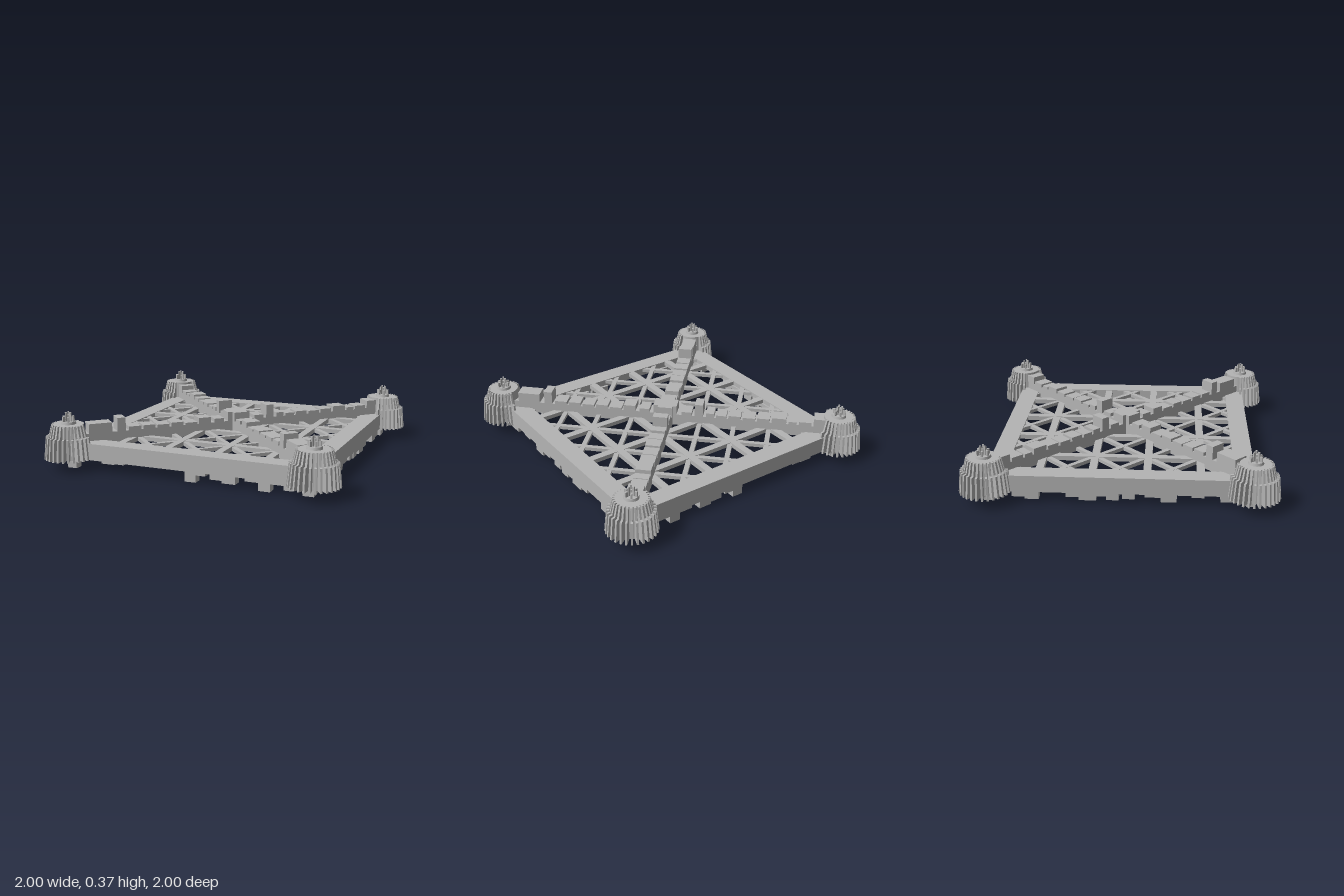
import * as THREE from 'three';

const steel = new THREE.MeshStandardMaterial({ color: 0xb4b4b4 });
steel.name = 'light grey';

// Box given by its centre, its size and its bottom and top heights
function slab(name, x, z, w, d, y0, y1, turn = 0) {
  const mesh = new THREE.Mesh(new THREE.BoxGeometry(w, y1 - y0, d), steel);
  mesh.name = name;
  mesh.position.set(x, (y0 + y1) / 2, z);
  mesh.rotation.y = turn;
  return mesh;
}

// Square ring with an open middle
function squareRing(name, outer, inner, y0, y1) {
  const square = (r) => [[-r, -r], [r, -r], [r, r], [-r, r]].map(([x, y]) => new THREE.Vector2(x, y));
  const shape = new THREE.Shape(square(outer));
  shape.holes.push(new THREE.Path(square(inner)));
  const geo = new THREE.ExtrudeGeometry(shape, { depth: y1 - y0, bevelEnabled: false });
  geo.rotateX(-Math.PI / 2).translate(0, y0, 0);
  const mesh = new THREE.Mesh(geo, steel);
  mesh.name = name;
  return mesh;
}

// Straight bars and crossing braces, level with the top plate
function makeLattice() {
  const group = new THREE.Group();
  group.name = 'lattice';
  for (const p of [-0.508, -0.172, 0.172, 0.508]) {
    group.add(slab('longBar', p, 0, 0.05, 1.436, 0.146, 0.176));
    group.add(slab('crossBar', 0, p, 1.436, 0.05, 0.147, 0.175));
  }
  const pitch = 0.338, reach = 0.73;
  for (let k = -4; k <= 4; k++) {
    if (k === 0) continue; // the main beams lie here
    const off = k * pitch, len = (2 * reach - Math.abs(off)) * Math.SQRT2;
    group.add(slab('brace', off / 2, -off / 2, len, 0.032, 0.148, 0.172, -Math.PI / 4));
    group.add(slab('brace', off / 2, off / 2, len, 0.032, 0.149, 0.171, Math.PI / 4));
  }
  return group;
}

// Two tall diagonal beams topped with blocks: [z start, z end, top]
const BLOCKS = [
  [-0.78, -0.72, 0.28], [-0.71, -0.65, 0.25], [-0.64, -0.6, 0.245], [-0.59, -0.52, 0.262],
  [-0.51, -0.45, 0.25], [-0.44, -0.38, 0.245], [-0.37, -0.31, 0.25], [-0.3, -0.25, 0.245],
  [-0.24, -0.2, 0.255], [-0.185, -0.145, 0.315], [-0.13, -0.08, 0.25], [-0.055, 0.06, 0.288],
  [0.08, 0.13, 0.25], [0.15, 0.21, 0.265], [0.22, 0.28, 0.24], [0.29, 0.35, 0.25],
  [0.36, 0.42, 0.245], [0.43, 0.49, 0.25], [0.5, 0.56, 0.25], [0.575, 0.615, 0.315], [0.64, 0.75, 0.29],
];
function makeBeams() {
  const group = new THREE.Group();
  group.name = 'diagonalBeams';
  for (const s of [-1, 1]) {
    const turn = -s * Math.PI / 4;
    group.add(slab('beam', 0, 0, 2.3, 0.1, 0.145, 0.226, turn));
    for (const [a, b, top] of BLOCKS) {
      const z = (a + b) / 2;
      group.add(slab('beamBlock', s * z, z, (b - a) * Math.SQRT2, 0.1, 0.22, top, turn));
    }
  }
  return group;
}

// Blocks hanging under the outer wall: [start, end, bottom]
const FRONT_TEETH = [
  [-0.845, -0.78, 0.003], [-0.59, -0.5, 0.055], [-0.5, -0.43, 0.06], [0, 0.075, 0.003],
  [0.075, 0.14, 0.05], [0.17, 0.25, 0.035], [0.25, 0.34, 0.02], [0.4, 0.49, 0.05],
  [0.49, 0.565, 0], [0.565, 0.65, 0.05], [0.65, 0.71, 0.022], [0.71, 0.77, 0.035], [0.77, 0.84, 0.003],
];
const SIDE_TEETH = [
  [-0.84, -0.77, 0.015], [-0.67, -0.59, 0.035], [-0.59, -0.5, 0.02], [-0.33, -0.25, 0.04],
  [-0.25, -0.14, 0.02], [-0.14, -0.08, 0.05], [-0.08, 0, 0.025], [0.02, 0.1, 0.035],
  [0.16, 0.26, 0.05], [0.26, 0.36, 0.02], [0.45, 0.53, 0.055], [0.63, 0.76, 0.03], [0.78, 0.84, 0.015],
];
function makeTeeth() {
  const group = new THREE.Group();
  group.name = 'wallTeeth';
  const at = 0.817, thick = 0.06;
  for (const s of [-1, 1]) {
    for (const [a, b, y] of FRONT_TEETH) group.add(slab('tooth', (a + b) / 2, s * at, b - a, thick, y, 0.08));
    for (const [a, b, y] of SIDE_TEETH) group.add(slab('tooth', s * at, (a + b) / 2, thick, b - a, y, 0.08));
  }
  return group;
}

// Corner tower: core, radial fins around the outer side, cap and pins
const finShape = new THREE.Shape([
  [0.06, 0.07], [0.165, 0.07], [0.15, 0.215], [0.131, 0.218], [0.112, 0.295], [0.06, 0.295],
].map(([x, y]) => new THREE.Vector2(x, y)));
const finGeo = new THREE.ExtrudeGeometry(finShape, { depth: 0.013, bevelEnabled: false }).translate(0, 0, -0.0065);
const coreGeo = new THREE.CylinderGeometry(0.098, 0.105, 0.224, 24).translate(0, 0.183, 0);
const capGeo = new THREE.CylinderGeometry(0.046, 0.05, 0.02, 20).translate(0, 0.302, 0);

function makeTower(sx, sz) {
  const group = new THREE.Group();
  group.name = 'cornerTower';
  const add = (name, geo) => {
    const mesh = new THREE.Mesh(geo, steel);
    mesh.name = name;
    group.add(mesh);
    return mesh;
  };
  add('towerCore', coreGeo);
  add('towerCap', capGeo);
  const outward = Math.atan2(-sz, sx), fins = 23;
  for (let i = 0; i < fins; i++) {
    add('fin', finGeo).rotation.y = outward + (i / (fins - 1) - 0.5) * Math.PI * 1.5;
  }
  for (let i = 0; i < 6; i++) {
    const a = i * Math.PI / 3, c = Math.cos(a), s = -Math.sin(a);
    group.add(slab('outerPin', 0.034 * c, 0.034 * s, 0.016, 0.012, 0.3, 0.345, a));
    group.add(slab('innerPin', 0.016 * c, 0.016 * s, 0.012, 0.01, 0.3, i % 2 ? 0.36 : 0.373, a));
  }
  group.position.set(sx * 0.835, 0, sz * 0.835);
  return group;
}

export function createModel() {
  const model = new THREE.Group();
  model.name = 'latticePlatform';
  model.add(squareRing('topPlate', 0.847, 0.718, 0.145, 0.177));
  model.add(squareRing('outerWall', 0.847, 0.805, 0.068, 0.15));
  model.add(makeLattice(), makeBeams(), makeTeeth());
  for (const sx of [-1, 1]) for (const sz of [-1, 1]) model.add(makeTower(sx, sz));
  return model;
}
